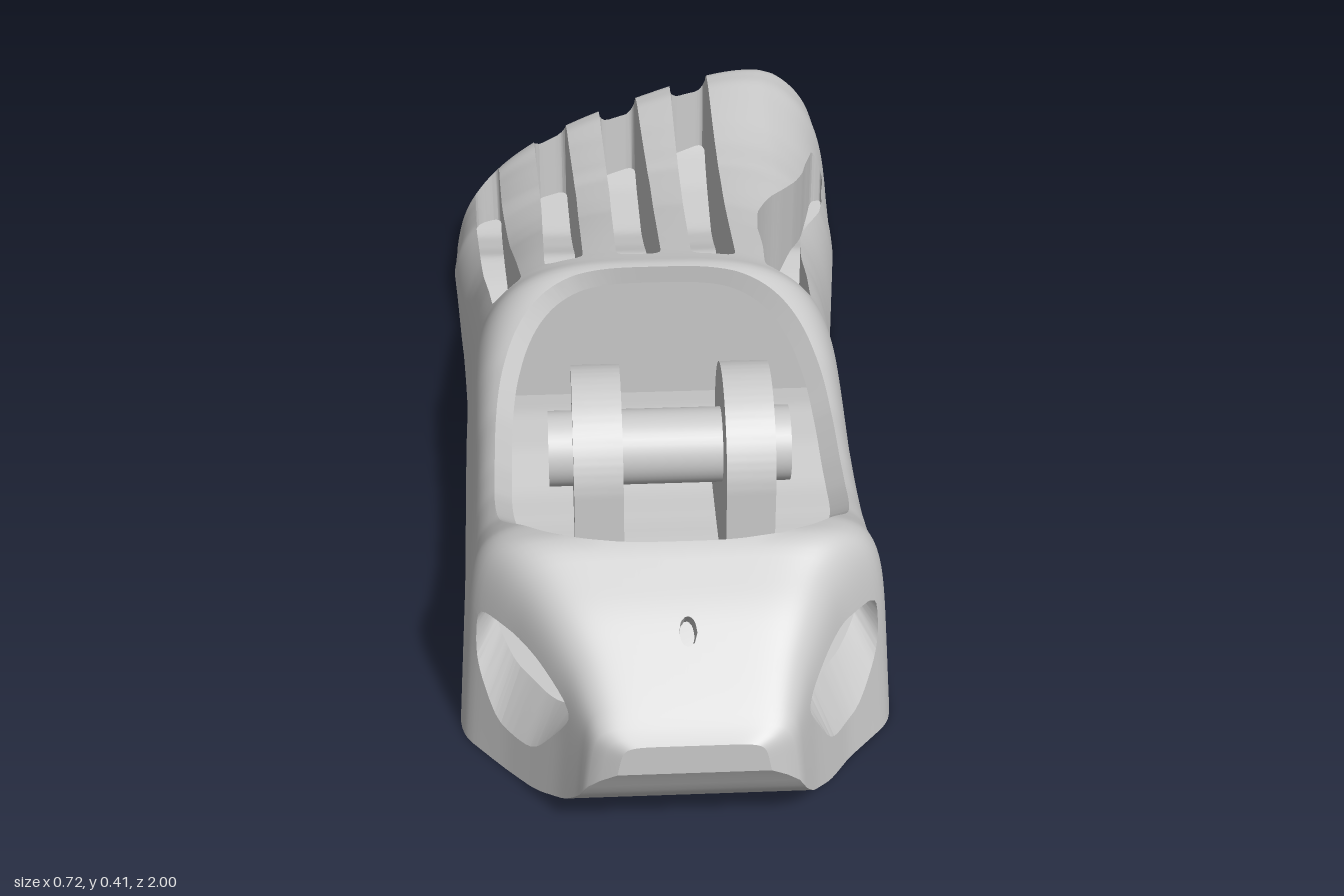
import * as THREE from 'three';
import { mergeVertices, toCreasedNormals } from 'three/addons/utils/BufferGeometryUtils.js';

const material = new THREE.MeshStandardMaterial({ color: 0xcccccc, side: THREE.DoubleSide });
const NU = 112, NS = 180;
const WELL = 0.035; // the ankle well is hollow behind this station, the forefoot is solid with deep slots

// Softened lookup in a short [key, value] table with rising keys
function table(rows, soft = 0.025) {
  const lin = (t) => {
    if (t <= rows[0][0]) return rows[0][1];
    for (let i = 1; i < rows.length; i++) {
      const [a, p] = rows[i - 1], [b, q] = rows[i];
      if (t <= b) return p + (q - p) * (t - a) / (b - a);
    }
    return rows[rows.length - 1][1];
  };
  return (t) => (lin(t - soft) + 2 * lin(t) + lin(t + soft)) / 4;
}

// Foot profiles along its length, toe (-1) to heel (+1)
const leftEdge = table([[-1, -0.26], [-0.98, -0.31], [-0.94, -0.342], [-0.88, -0.36], [-0.6, -0.36], [-0.3, -0.34], [0, -0.325],
  [0.7, -0.325], [0.73, -0.318], [0.8, -0.26], [0.9, -0.19], [0.96, -0.158], [0.985, -0.15], [1, -0.1]], 0.012);
const rightEdge = table([[-1, 0.26], [-0.98, 0.315], [-0.94, 0.348], [-0.85, 0.36], [-0.6, 0.35], [-0.4, 0.325], [-0.2, 0.3],
  [0, 0.287], [0.7, 0.29], [0.73, 0.283], [0.8, 0.22], [0.9, 0.165], [0.96, 0.14], [0.985, 0.13], [1, 0.08]], 0.012);
const topLine = table([[-1, 0.125], [-0.985, 0.195], [-0.96, 0.248], [-0.92, 0.278], [-0.85, 0.288], [-0.6, 0.28], [-0.5, 0.28],
  [-0.3, 0.304], [-0.1, 0.342], [0, 0.362], [0.06, 0.38], [0.1, 0.362], [0.2, 0.312], [0.3, 0.282], [0.42, 0.268],
  [0.5, 0.272], [0.6, 0.298], [0.7, 0.35], [0.76, 0.364], [0.85, 0.314], [0.95, 0.242], [1, 0.205]], 0.015);
const soleLine = table([[-1, 0.1], [-0.9, 0.05], [-0.8, 0.02], [-0.66, 0], [-0.58, 0.018], [-0.51, 0.042], [-0.44, 0.03],
  [-0.35, 0.003], [-0.3, 0.003], [-0.2, 0.03], [-0.1, 0.06], [0, 0.075], [0.1, 0.075], [0.2, 0.055], [0.3, 0.02],
  [0.38, 0], [0.8, 0], [0.86, 0.014], [0.92, 0.05], [0.97, 0.105], [1, 0.17]], 0.015);
const squareness = table([[-1, 3.2], [-0.85, 3], [-0.6, 2.6], [-0.2, 3], [0.05, 3.5], [0.2, 6], [0.4, 8], [1, 8]]);
const floorRise = table([[-1, 0.025], [-0.2, 0.035], [0, 0.04], [0.3, 0.09], [0.38, 0.11], [0.8, 0.11], [0.9, 0.07], [1, 0.02]]);

// Point on the shell: u runs over the arch from +x to -x, s along the foot
function shellPoint(u, s, inner, flat) {
  const t = inner ? 0.03 : 0;
  const l = leftEdge(s) + t, r = rightEdge(s) - t;
  const a = Math.PI * u, c = Math.cos(a), q = Math.sin(a), n = squareness(s);
  const k = 1 / Math.pow(Math.abs(c) ** n + Math.abs(q) ** n, 1 / n);
  const up = q * k;
  const taper = 1 - 0.09 * up;
  const x = (l + r) / 2 + (r - l) / 2 * c * k * taper;
  // the toe end is cut on a slant
  const toe = Math.max(0, -s);
  const reach = THREE.MathUtils.clamp(1 + (x - 0.26) * 0.42, 0.7, 1);
  const z = s * (1 - toe * (1 - reach)) * (inner ? 0.97 : 1);
  const base = soleLine(z) + (inner ? floorRise(z) : 0);
  const lean = 1 - 0.4 * toe * THREE.MathUtils.clamp((0.23 - x) / 0.55, 0, 1);
  const height = Math.max(0.006, topLine(s) - t - base) * lean;
  return new THREE.Vector3(x, flat ? base : base + height * up, z);
}

// Far side of the cut: the lining in the well, the slot floor in the forefoot
function depthPoint(u, s) {
  if (s > WELL) return shellPoint(u, s, true);
  const p = shellPoint(u, s);
  p.y = Math.min(p.y, soleLine(p.z) + floorRise(p.z));
  return p;
}

// Slots over the forefoot: centre line, first and last z, half width
const slots = [
  { line: table([[-0.7, -0.3], [-0.5, -0.292], [-0.2, -0.268], [0.04, -0.25]]), from: 0.02, to: -0.71, w: 0.024 },
  { line: table([[-0.8, -0.18], [-0.4, -0.165], [0, -0.16]]), from: 0, to: -0.79, w: 0.031 },
  { line: table([[-0.86, -0.05], [-0.4, -0.04], [0, -0.04]]), from: 0, to: -0.85, w: 0.036 },
  { line: table([[-0.93, 0.09], [-0.4, 0.085], [0, 0.08]]), from: 0, to: -0.905, w: 0.036 },
  { line: table([[-0.75, 0.12], [-0.6, 0.15], [-0.4, 0.215], [-0.1, 0.285], [0.06, 0.325]]), from: 0.025, to: -0.75, w: 0.031, side: true },
];
const heelHole = [[0.925, 0.195], [0.84, 0.243], [0.74, 0.243], [0.74, 0.15], [0.785, 0.068], [0.85, 0.075]];

// Positive on solid shell, negative inside an opening
function solid({ x, y, z }) {
  // ankle opening
  let f = (Math.pow((Math.abs(x + 0.015) / 0.255) ** 3.4 + (Math.abs(z - 0.415) / 0.35) ** 3.4, 1 / 3.4) - 1) * 0.26;
  for (const { line, from, to, w, side } of slots) {
    if (side && x < 0.1) continue;
    const d = (side ? y : x) - line(z), round = 0.018;
    const end = side ? to : to - 0.42 * d;
    const across = Math.abs(d) - w + round, along = Math.max(z - from, end - z) + round;
    const inside = Math.min(Math.max(across, along), 0);
    f = Math.min(f, Math.hypot(Math.max(across, 0), Math.max(along, 0)) + inside - round);
  }
  // rounded heel windows, both sides
  if (Math.abs(x) > 0.1 && z > 0.6) {
    let sum = 0;
    heelHole.forEach(([a, b], i) => {
      const [c, d] = heelHole[(i + 1) % heelHole.length];
      const dist = ((z - a) * (d - b) - (y - b) * (c - a)) / Math.hypot(c - a, d - b);
      sum += Math.exp(dist / 0.009);
    });
    f = Math.min(f, 0.009 * Math.log(sum));
  }
  // small peg hole at the heel
  if (z > 0.8 && y > 0.2) f = Math.min(f, Math.hypot(x + 0.012, y - 0.295) - 0.012);
  return f;
}

function geometryFrom(points, smooth = true) {
  const g = new THREE.BufferGeometry().setFromPoints(points);
  if (!smooth) return toCreasedNormals(g, 0.6);
  const merged = mergeVertices(g, 1e-5);
  merged.computeVertexNormals();
  return merged;
}

// Regular sheet of points at(i / nu, j / nv)
function sheet(nu, nv, at, flip) {
  const out = [];
  for (let i = 0; i < nu; i++) for (let j = 0; j < nv; j++) {
    const a = at(i / nu, j / nv), b = at((i + 1) / nu, j / nv);
    const c = at((i + 1) / nu, (j + 1) / nv), d = at(i / nu, (j + 1) / nv);
    out.push(...(flip ? [a, c, b, a, d, c] : [a, b, c, a, c, d]));
  }
  return geometryFrom(out);
}

// Part of a triangle on one side of the openings, with the cut points
function clip(tri, sign) {
  const keep = [], cut = [];
  tri.forEach((p, i) => {
    const q = tri[(i + 1) % 3];
    if (p.f * sign >= 0) keep.push(p);
    if ((p.f >= 0) !== (q.f >= 0)) {
      const k = p.f / (p.f - q.f);
      const m = { u: p.u + (q.u - p.u) * k, s: p.s + (q.s - p.s) * k };
      keep.push(m);
      cut.push(m);
    }
  });
  return { keep, cut };
}

// Upper skin, well lining, slot floors and cut edges, trimmed exactly along the openings
function trimmedShell() {
  const outer = [], lining = [], floors = [], edges = [], grid = [];
  for (let i = 0; i <= NU; i++) {
    grid.push([]);
    for (let j = 0; j <= NS; j++) {
      const u = i / NU, s = -1 + 2 * j / NS;
      grid[i].push({ u, s, f: solid(shellPoint(u, s)) });
    }
  }
  const fan = (out, points) => {
    for (let i = 2; i < points.length; i++) out.push(points[0], points[i - 1], points[i]);
  };
  const trim = (tri) => {
    const { keep, cut } = clip(tri, 1);
    const depth = ({ u, s }) => depthPoint(u, s);
    fan(outer, keep.map(({ u, s }) => shellPoint(u, s)));
    if (tri.every((p) => p.s > WELL)) fan(lining, keep.map(depth).reverse());
    else fan(floors, clip(tri, -1).keep.map(depth));
    if (cut.length === 2) {
      const [a, b] = cut.map(({ u, s }) => shellPoint(u, s)), [c, d] = cut.map(depth);
      edges.push(a, b, d, a, d, c);
    }
  };
  for (let i = 0; i < NU; i++) for (let j = 0; j < NS; j++) {
    const a = grid[i][j], b = grid[i + 1][j], c = grid[i + 1][j + 1], d = grid[i][j + 1];
    trim([a, b, c]);
    trim([a, c, d]);
  }
  return { outer: geometryFrom(outer), lining: geometryFrom(lining), floors: geometryFrom(floors), edges: geometryFrom(edges, false) };
}

// Side profile in (z, y) extruded across x about its middle
function acrossX(shape, width) {
  const g = new THREE.ExtrudeGeometry(shape, { depth: width, bevelEnabled: false, curveSegments: 32 });
  return toCreasedNormals(g.rotateY(-Math.PI / 2).translate(width / 2, 0, 0), 0.6);
}

export function createModel() {
  const model = new THREE.Group();
  model.name = 'footShell';
  const add = (name, geometry, x = 0, y = 0, z = 0) => {
    const mesh = new THREE.Mesh(geometry, material);
    mesh.name = name;
    mesh.position.set(x, y, z);
    model.add(mesh);
  };

  // Body
  const shell = trimmedShell();
  add('upperSkin', shell.outer);
  add('wellLining', shell.lining);
  add('slotFloors', shell.floors);
  add('openingEdges', shell.edges);
  add('sole', sheet(12, NS, (u, v) => shellPoint(u, 2 * v - 1, false, true), true));
  add('wellFloor', sheet(12, 90, (u, v) => shellPoint(u, WELL + (1 - WELL) * v, true, true)));

  // End faces and the wall between ankle well and forefoot
  const wall = (s, inner, flip) => sheet(48, 1, (u, v) => shellPoint(u, s, inner, v > 0.5), flip);
  add('toeEnd', wall(-1, false, true));
  add('heelEnd', wall(1, false, false));
  add('bulkhead', wall(WELL, true, false));

  // Solid heel core between the two windows
  const core = new THREE.Shape([[0.755, 0.09], [0.9, 0.1], [0.93, 0.13], [0.93, 0.21], [0.79, 0.315], [0.755, 0.325]]
    .map(([z, y]) => new THREE.Vector2(z, y)));
  add('heelCore', acrossX(core, 0.25), -0.013);

  // Ankle clevis: two round-topped lugs on low rails
  const lug = new THREE.Shape();
  lug.moveTo(0.32, 0.09);
  lug.lineTo(0.57, 0.09);
  lug.lineTo(0.57, 0.29);
  lug.absarc(0.445, 0.29, 0.125, 0, Math.PI, false);
  lug.closePath();
  for (const [side, x] of [['right', -0.12], ['left', 0.096]]) {
    add(side + 'Lug', acrossX(lug, 0.07), x);
    add(side + 'Rail', new THREE.BoxGeometry(0.07, 0.05, 0.44), x, 0.115, 0.5);
  }
  const pin = new THREE.CylinderGeometry(0.055, 0.055, 0.35, 40).rotateZ(Math.PI / 2);
  add('anklePin', pin, -0.015, 0.295, 0.445);
  return model;
}
